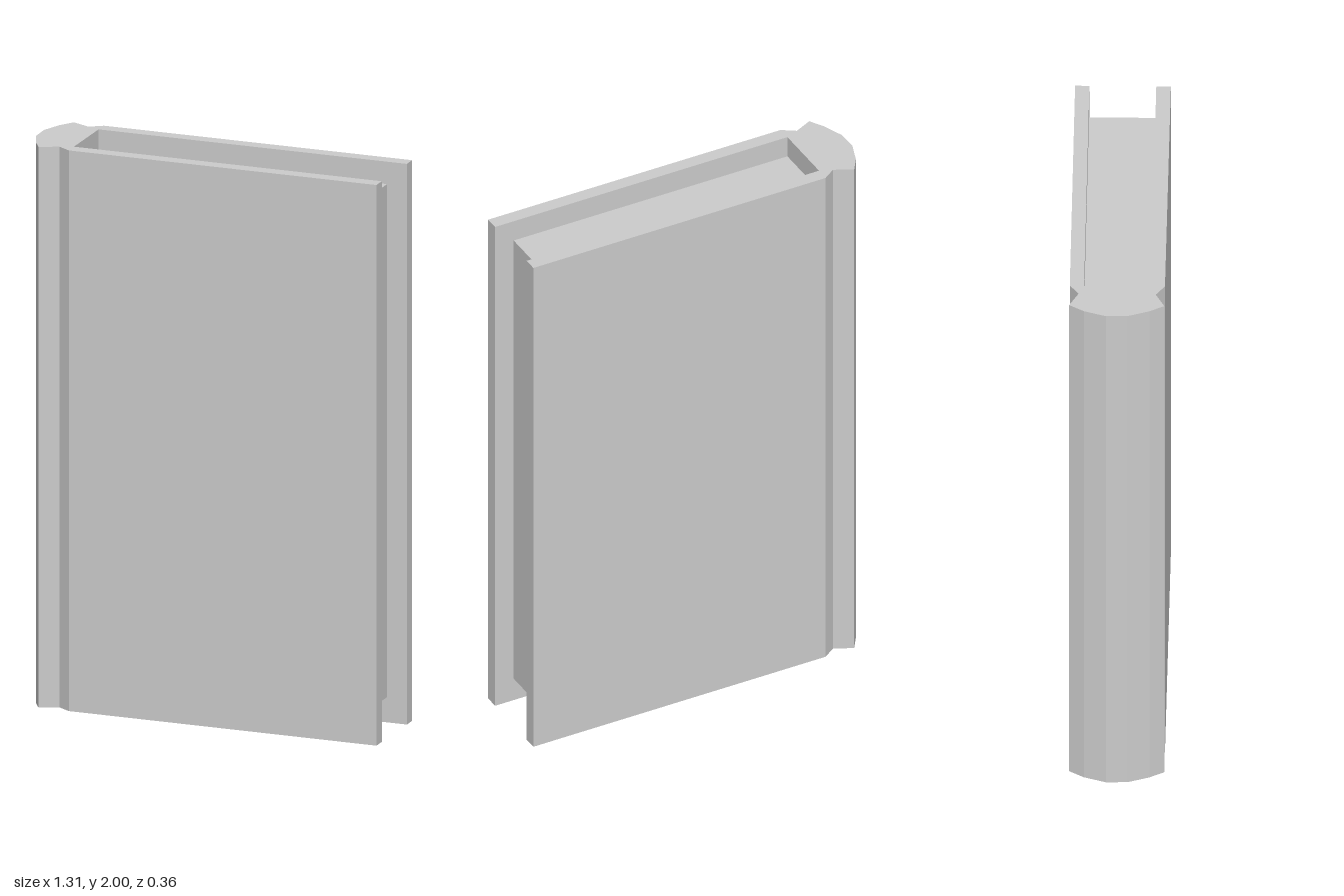
import * as THREE from 'three';

const material = new THREE.MeshStandardMaterial({ color: 0xcccccc, flatShading: true });

// Extrudes an [x, z] floor outline upward from y0 to y1.
function prism(name, outline, y0, y1) {
  const shape = new THREE.Shape(outline.map(([x, z]) => new THREE.Vector2(x, -z)));
  const geometry = new THREE.ExtrudeGeometry(shape, { depth: y1 - y0, bevelEnabled: false });
  geometry.rotateX(-Math.PI / 2).translate(0, y0, 0);
  const mesh = new THREE.Mesh(geometry, material);
  mesh.name = name;
  return mesh;
}

export function createModel() {
  const book = new THREE.Group();
  book.name = 'book';

  // Inner corners shared by the cover and the pages
  const innerBack = [-0.483, -0.128];
  const innerFront = [-0.488, 0.1];

  // Hard cover: rounded spine, hinge grooves and two slightly turned boards
  book.add(prism('cover', [
    [-0.656, 0.02], [-0.656, -0.055], [-0.627, -0.13], [-0.592, -0.18],
    [-0.527, -0.147], [-0.481, -0.177],
    [0.655, -0.151], [0.654, -0.102],
    innerBack, innerFront,
    [0.648, 0.127], [0.647, 0.177],
    [-0.488, 0.149], [-0.535, 0.117],
    [-0.6, 0.146], [-0.629, 0.095],
  ], 0, 2));

  // Page block, set back from the three open edges of the boards
  book.add(prism('pages', [
    innerBack, [0.581, -0.104], [0.576, 0.125], innerFront,
  ], 0.09, 1.92));

  return book;
}
